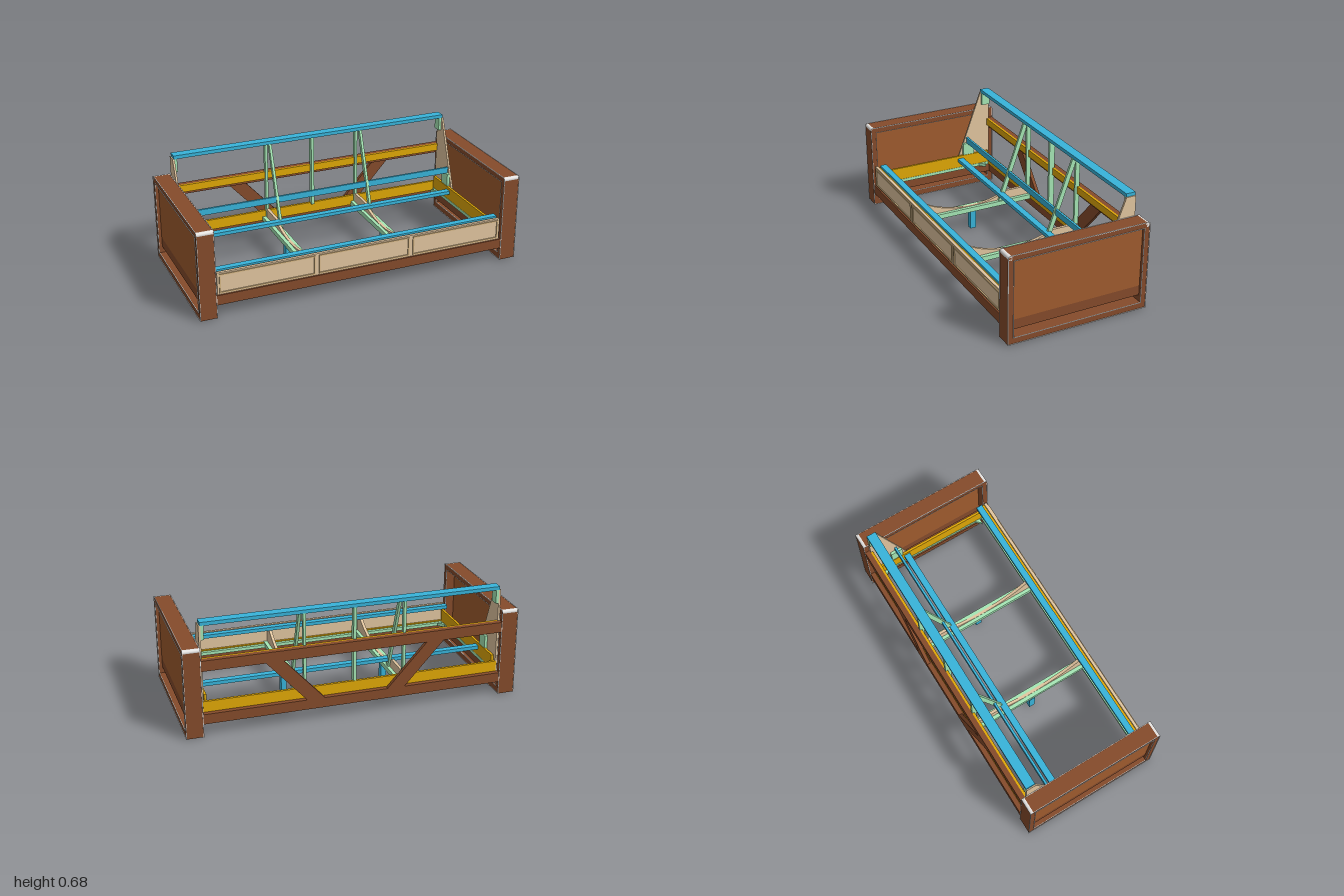
import * as THREE from 'three';

const mat = (name, color) => {
  const m = new THREE.MeshStandardMaterial({ color });
  m.name = name;
  return m;
};

export function createModel() {
  const brown = mat('frame brown', 0x854b2b);
  const panelBrown = mat('panel brown', 0xa05c2e);
  const blue = mat('blue', 0x38b4da);
  const gold = mat('gold', 0xe0a806);
  const tan = mat('tan', 0xe2c6a0);
  const mutedGold = mat('muted gold', 0xd8b884);
  const green = mat('green', 0xa6e8b6);
  const white = mat('edge white', 0xf4f2f0);
  const model = new THREE.Group();
  model.name = 'sofaFrame';

  // Adds a mesh to the model
  const add = (name, geometry, material) => {
    const mesh = new THREE.Mesh(geometry, material);
    mesh.name = name;
    model.add(mesh);
    return mesh;
  };
  // Box given by its limits on each axis
  const box = (name, material, [x0, x1], [y0, y1], [z0, z1]) => {
    const m = add(name, new THREE.BoxGeometry(x1 - x0, y1 - y0, z1 - z0), material);
    m.position.set((x0 + x1) / 2, (y0 + y1) / 2, (z0 + z1) / 2);
  };
  // Extrudes a shape drawn in (-z, y) along x, from x0 to x1
  const plateX = (name, material, shape, x0, x1) => {
    const g = new THREE.ExtrudeGeometry(shape, { depth: x1 - x0, bevelEnabled: false, curveSegments: 14 });
    g.rotateY(Math.PI / 2);
    add(name, g, material).position.x = x0;
  };
  const poly = (points) => new THREE.Shape(points.map(([z, y]) => new THREE.Vector2(-z, y)));
  // Rectangle with rounded top corners
  const archRect = (w, y0, y1, r, Kind = THREE.Shape) => {
    const s = new Kind();
    s.moveTo(-w, y0);
    s.lineTo(w, y0);
    s.lineTo(w, y1 - r);
    s.quadraticCurveTo(w, y1, w - r, y1);
    s.lineTo(-w + r, y1);
    s.quadraticCurveTo(-w, y1, -w, y1 - r);
    s.closePath();
    return s;
  };
  const ring = (outer, inner) => {
    const s = archRect(...outer);
    s.holes.push(archRect(...inner, THREE.Path));
    return s;
  };

  const full = [-0.89, 0.89];

  for (const side of [-1, 1]) {
    const span = (a, b) => (side > 0 ? [a, b] : [-b, -a]);

    // Arm: hollow frame with a recessed panel and a gap near the floor
    plateX('armFrame', brown, ring([0.433, 0.002, 0.538, 0.015], [0.4, 0.04, 0.505, 0.001]), ...span(0.9, 0.997));
    box('armPanel', panelBrown, span(0.955, 0.978), [0.14, 0.505], [-0.4, 0.4]);
    box('armLowerBoard', brown, span(0.955, 0.978), [0.08, 0.14], [-0.4, 0.4]);

    // Pale edging on both faces of the arm
    for (const [a, b] of [[0.996, 1], [0.898, 0.902]]) {
      plateX('armOuterEdging', white, ring([0.435, 0, 0.54, 0.015], [0.431, 0.004, 0.536, 0.013]), ...span(a, b));
      plateX('armInnerEdging', white, ring([0.402, 0.038, 0.507, 0.002], [0.399, 0.041, 0.504, 0.001]), ...span(a, b));
    }
    // Pale rounded corners on the top of the arm
    for (const end of [-1, 1]) {
      const c = add('armCorner', new THREE.CylinderGeometry(0.014, 0.014, 0.096, 16), white);
      c.rotation.z = Math.PI / 2;
      c.position.set(side * 0.949, 0.525, end * 0.42);
    }

    // Side rails of the seat
    box('sideBottomRail', brown, span(0.88, 0.9), [0.08, 0.14], [-0.41, 0.4]);
    box('sideSeatRail', gold, span(0.865, 0.88), [0.16, 0.24], [-0.385, 0.385]);
    box('sideSeatBatten', green, span(0.863, 0.88), [0.14, 0.16], [-0.385, 0.385]);

    // Corner braces, right angle towards the corner of the seat
    for (const end of [-1, 1]) {
      const s = new THREE.Shape();
      s.moveTo(0, 0);
      s.lineTo(-side * 0.04, 0);
      s.lineTo(0, -end * 0.04);
      const g = new THREE.ExtrudeGeometry(s, { depth: 0.02, bevelEnabled: false });
      g.rotateX(Math.PI / 2);
      add('cornerBrace', g, green).position.set(side * 0.868, 0.16, end * 0.352);
    }

    // Backrest end gusset and its blocks
    plateX('backEndGusset', tan,
      poly([[-0.4, 0.14], [-0.165, 0.14], [-0.165, 0.2], [-0.34, 0.66], [-0.4, 0.66]]), ...span(0.885, 0.897));
    box('backTopBlock', green, span(0.868, 0.885), [0.575, 0.66], [-0.4, -0.345]);
    box('backLowerBlock', green, span(0.868, 0.885), [0.2, 0.32], [-0.28, -0.205]);

    // Diagonal brace on the back
    const d = [[0.54, 0.41], [0.435, 0.41], [0.19, 0.14], [0.295, 0.14]];
    const ds = new THREE.Shape(d.map(([x, y]) => new THREE.Vector2(side * x, y)));
    add('backDiagonal', new THREE.ExtrudeGeometry(ds, { depth: 0.022, bevelEnabled: false }), brown)
      .position.z = -0.432;

    // Seat rib: long scooped plate between two straight battens
    const rib = new THREE.Shape();
    rib.moveTo(-0.4, 0.14);
    rib.lineTo(0.4, 0.14);
    rib.lineTo(0.4, 0.22);
    rib.lineTo(0.22, 0.22);
    rib.bezierCurveTo(0.1, 0.145, -0.18, 0.145, -0.345, 0.255);
    rib.lineTo(-0.4, 0.255);
    rib.closePath();
    plateX('seatRib', tan, rib, ...span(0.291, 0.309));
    for (const [a, b] of [[0.27, 0.291], [0.309, 0.332]]) {
      box('seatRibBatten', green, span(a, b), [0.135, 0.165], [-0.4, 0.4]);
    }

    // Backrest rib: upright and sloping post side by side
    const x = side * 0.3 + 0.006;
    box('backUpright', green, [x - 0.016, x], [0.165, 0.66], [-0.4, -0.372]);
    plateX('backSlopingPost', green,
      poly([[-0.195, 0.165], [-0.165, 0.165], [-0.34, 0.66], [-0.37, 0.66]]), x, x + 0.016);

    // Middle leg
    box('middleLeg', blue, span(0.302, 0.335), [0.002, 0.14], [-0.016, 0.022]);
  }

  // Front rail, apron and its three framed panels
  box('frontRail', brown, [-0.9, 0.9], [0.08, 0.14], [0.4, 0.43]);
  box('frontTopStrip', gold, full, [0.25, 0.262], [0.386, 0.402]);
  box('frontBottomStrip', gold, full, [0.14, 0.16], [0.386, 0.402]);
  box('frontBatten', green, full, [0.135, 0.155], [0.365, 0.386]);
  box('frontApron', tan, full, [0.14, 0.275], [0.402, 0.42]);
  for (const i of [-1, 0, 1]) {
    const [a, b] = [i * 0.593 - 0.285, i * 0.593 + 0.285];
    const z = [0.419, 0.426];
    box('apronTopMolding', mutedGold, [a, b], [0.258, 0.266], z);
    box('apronBottomMolding', mutedGold, [a, b], [0.148, 0.156], z);
    box('apronLeftMolding', mutedGold, [b - 0.008, b], [0.156, 0.258], z);
    box('apronRightMolding', mutedGold, [a, a + 0.008], [0.156, 0.258], z);
  }
  box('frontSeatBeam', blue, full, [0.255, 0.277], [0.347, 0.386]);

  // Seat back beams
  box('rearSeatBeam', blue, full, [0.2, 0.222], [-0.2, -0.16]);
  box('lowerBackBeam', blue, full, [0.318, 0.357], [-0.247, -0.233]);

  // Backrest
  box('backTopRail', blue, full, [0.658, 0.68], [-0.4, -0.342]);
  box('backCentrePost', green, [-0.009, 0.009], [0.2, 0.66], [-0.4, -0.365]);

  // Back of the frame
  box('backBottomRail', brown, [-0.9, 0.9], [0.08, 0.14], [-0.432, -0.4]);
  box('backUpperRail', brown, [-0.9, 0.9], [0.402, 0.465], [-0.432, -0.4]);
  box('backUpperBoard', gold, full, [0.42, 0.465], [-0.4, -0.386]);
  box('backLowerBoard', gold, full, [0.14, 0.205], [-0.402, -0.386]);

  return model;
}
